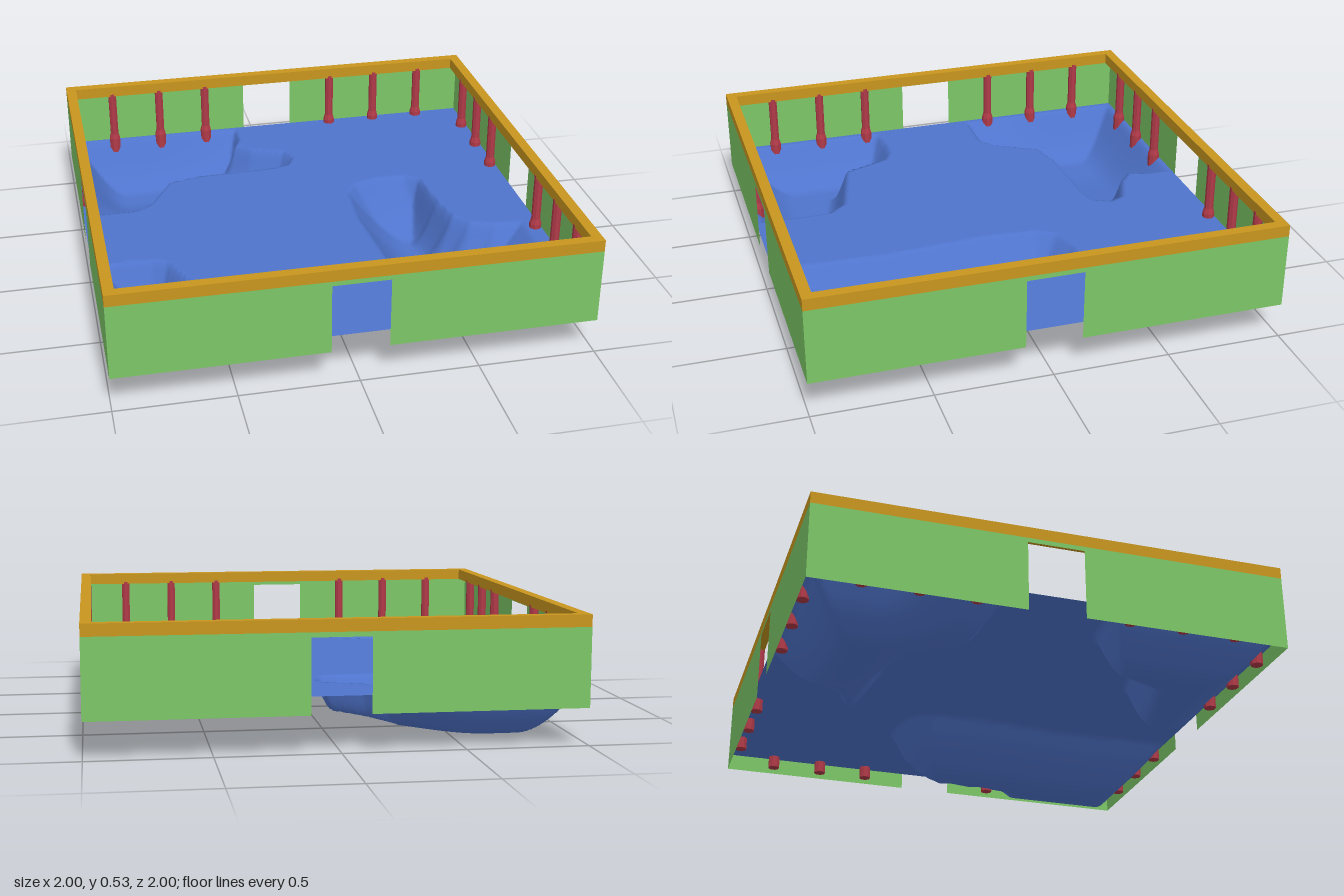
import * as THREE from 'three';

const mat = (color, side = THREE.FrontSide) => new THREE.MeshStandardMaterial({ color, side });
const GREEN = mat(0x7cc667, THREE.DoubleSide);
const BLUE = mat(0x4f74cc, THREE.DoubleSide);
const GOLD = mat(0xc8961e);
const RED = mat(0xb03a48);

const FLOOR_Y = 0.23, WALL_BOTTOM = 0.155, DOOR_TOP = 0.46, TRIM_Y = 0.48, TOP = 0.53;

// Pits in the floor: outline corners [x, z, width of the slope along the edge that starts here]
const pits = [
  { // back, -x corner: deepest by the wall, shallower toward its tip
    depth: (x, z) => 0.215 * (1 - 0.35 * THREE.MathUtils.smoothstep(x, -0.65, 0))
      * (1 - 0.35 * THREE.MathUtils.smoothstep(z, -0.7, -0.35)),
    outline: [[-0.97, -0.98, 0.22], [-0.17, -0.98, 0.08], [-0.17, -0.86, 0.07], [-0.2, -0.79, 0.07],
      [-0.13, -0.73, 0.07], [0.02, -0.67, 0.07], [0.05, -0.6, 0.08], [0.02, -0.53, 0.1],
      [-0.07, -0.505, 0.14], [-0.42, -0.495, 0.14], [-0.57, -0.46, 0.12], [-0.68, -0.26, 0.1],
      [-0.75, -0.21, 0.12], [-0.97, -0.21, 0.22]],
  },
  { // front, -x corner
    depth: () => 0.18,
    outline: [[-0.97, 0.265, 0.14], [-0.85, 0.25, 0.14], [-0.75, 0.255, 0.12], [-0.68, 0.29, 0.1],
      [-0.6, 0.5, 0.1], [-0.28, 0.58, 0.1], [-0.21, 0.66, 0.1], [-0.21, 0.98, 0.25], [-0.97, 0.98, 0.22]],
  },
  { // front, +x corner with a long channel running back
    depth: () => 0.228,
    outline: [[0.23, 0.99, 0.28], [0.25, 0.5, 0.28], [0.215, 0.05, 0.28], [0.23, -0.18, 0.28],
      [0.28, -0.26, 0.28], [0.4, -0.295, 0.28], [0.52, -0.295, 0.15], [0.59, -0.25, 0.1],
      [0.61, 0, 0.12], [0.64, 0.15, 0.15], [0.7, 0.22, 0.2], [0.8, 0.255, 0.25],
      [0.93, 0.265, 0.4], [0.93, 0.99, 0.28]],
  },
];

// Depth of one pit at a point: rounded slope rising from each edge of the outline
function pitDepth({ depth, outline }, x, z) {
  let inside = false, t = 1;
  outline.forEach(([ax, az, width], i) => {
    const [bx, bz] = outline[(i + 1) % outline.length];
    if ((az > z) !== (bz > z) && x < ax + ((z - az) * (bx - ax)) / (bz - az)) inside = !inside;
    const dx = bx - ax, dz = bz - az;
    const k = THREE.MathUtils.clamp(((x - ax) * dx + (z - az) * dz) / (dx * dx + dz * dz), 0, 1);
    t = Math.min(t, Math.hypot(x - ax - k * dx, z - az - k * dz) / width);
  });
  return inside ? depth(x, z) * Math.sin((t * Math.PI) / 2) : 0;
}

function createFloor() {
  const geo = new THREE.PlaneGeometry(1.998, 1.998, 150, 150).rotateX(-Math.PI / 2);
  const p = geo.attributes.position;
  for (let i = 0; i < p.count; i++) {
    const x = p.getX(i), z = p.getZ(i);
    p.setY(i, FLOOR_Y - Math.max(...pits.map((pit) => pitDepth(pit, x, z))));
  }
  geo.computeVertexNormals();
  const floor = new THREE.Mesh(geo, BLUE);
  floor.name = 'floor';
  return floor;
}

// Thin wall with a doorway cut up from its lower edge
function wallGeometry() {
  const pts = [[-1, WALL_BOTTOM], [-0.12, WALL_BOTTOM], [-0.12, DOOR_TOP], [0.12, DOOR_TOP],
    [0.12, WALL_BOTTOM], [1, WALL_BOTTOM], [1, TRIM_Y], [-1, TRIM_Y]];
  return new THREE.ShapeGeometry(new THREE.Shape(pts.map(([x, y]) => new THREE.Vector2(x, y))));
}

// Eight-sided column with a wider foot that reaches below the floor
function columnGeometry() {
  const profile = [[0, 0.175], [0.027, 0.175], [0.027, 0.25], [0.02, 0.275], [0.02, TRIM_Y + 0.01], [0, TRIM_Y + 0.01]];
  const geo = new THREE.LatheGeometry(profile.map(([r, y]) => new THREE.Vector2(r, y)), 8, Math.PI / 8).toNonIndexed();
  geo.computeVertexNormals();
  return geo;
}

// Square frame along the top of the walls
function createTrim() {
  const square = (r) => [[-r, -r], [r, -r], [r, r], [-r, r]].map(([x, y]) => new THREE.Vector2(x, y));
  const shape = new THREE.Shape(square(1));
  shape.holes.push(new THREE.Path(square(0.955)));
  const geo = new THREE.ExtrudeGeometry(shape, { depth: TOP - TRIM_Y, bevelEnabled: false });
  const trim = new THREE.Mesh(geo.rotateX(-Math.PI / 2).translate(0, TRIM_Y, 0), GOLD);
  trim.name = 'topTrim';
  return trim;
}

export function createModel() {
  const model = new THREE.Group();
  model.name = 'walledRoom';
  model.add(createFloor(), createTrim());

  const wallGeo = wallGeometry(), columnGeo = columnGeometry();
  ['front', 'left', 'back', 'right'].forEach((name, i) => {
    const side = new THREE.Group();
    side.name = name + 'Side';
    side.rotation.y = (i * Math.PI) / 2;

    const wall = new THREE.Mesh(wallGeo, GREEN);
    wall.name = name + 'Wall';
    wall.position.z = 1;
    side.add(wall);

    // Three columns on each side of the doorway
    for (const x of [-0.78, -0.55, -0.32, 0.32, 0.55, 0.78]) {
      const column = new THREE.Mesh(columnGeo, RED);
      column.name = 'column';
      column.position.set(x, 0, 0.972);
      side.add(column);
    }
    model.add(side);
  });
  return model;
}
